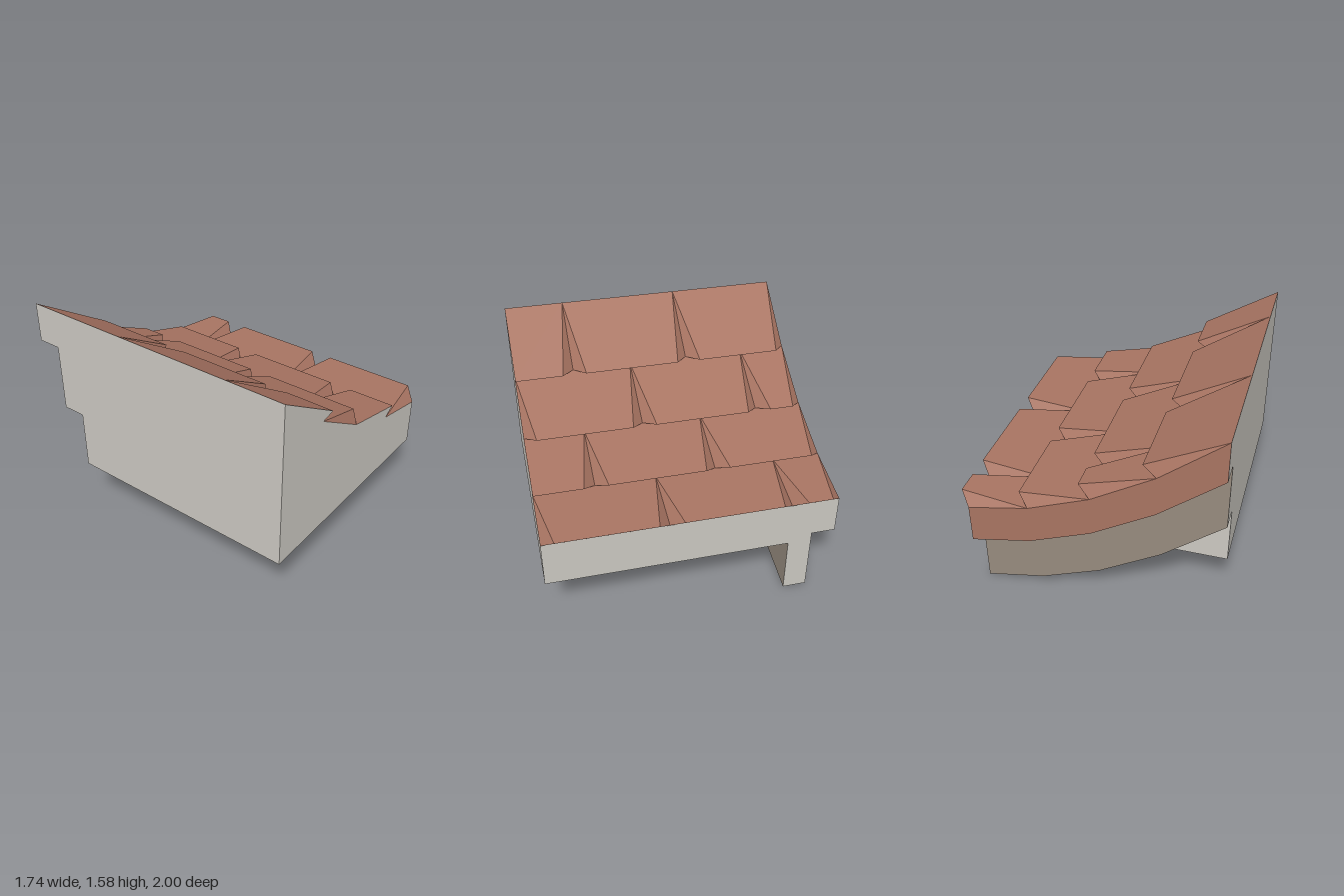
import * as THREE from 'three';

const material = (name, color) => {
  const m = new THREE.MeshStandardMaterial({ color });
  m.name = name;
  return m;
};

// Roof curve from ridge to eave, and the raised lip of each tile course
const CURVE = [[-0.87, 1.583], [-0.455, 1.25], [-0.038, 1.0], [0.378, 0.835], [0.79, 0.75]];
const LIPS = [[-0.35, 1.27], [0.06, 1.037], [0.463, 0.887], [0.867, 0.82]];
const BASE = 0.417, TRIM = 0.275, BRACE = 0.75; // base height, depths below the curve
const FRONT = 1, BACK = -1, BRACE_BACK = -0.833, BRACE_FRONT = -0.667;
const NOTCH = 0.083;

export function createModel() {
  const model = new THREE.Group();
  model.name = 'roofCorner';
  const stone = material('pale stone', 0xcbc8c1);
  const timber = material('taupe beam', 0x968b7e);
  const clay = material('clay tile', 0xa87462);

  const add = (name, geometry, mat, parent = model) => {
    const mesh = new THREE.Mesh(geometry, mat);
    mesh.name = name;
    parent.add(mesh);
    return mesh;
  };

  // Flat-shaded surface from convex polygons, counter-clockwise from outside
  const surface = (polygons) => {
    const pos = [];
    for (const p of polygons)
      for (let i = 1; i < p.length - 1; i++) pos.push(...p[0], ...p[i], ...p[i + 1]);
    const g = new THREE.BufferGeometry();
    g.setAttribute('position', new THREE.Float32BufferAttribute(pos, 3));
    g.computeVertexNormals();
    return g;
  };
  const flat = (points) =>
    new THREE.ShapeGeometry(new THREE.Shape(points.map(([x, y]) => new THREE.Vector2(x, y))));
  const at = ([x, y], z) => [x, y, z];
  const down = ([x, y], d) => [x, y - d];

  // Strips that follow the roof curve: facing back, or facing down
  const strip = (make) => surface(CURVE.slice(0, -1).map((a, i) => make(a, CURVE[i + 1])));
  const backStrip = (top, bottom, z) => strip((a, b) =>
    [at(down(a, top), z), at(down(b, top), z), at(down(b, bottom), z), at(down(a, bottom), z)]);
  const underStrip = (d, z0, z1) => strip((a, b) =>
    [at(down(a, d), z0), at(down(b, d), z0), at(down(b, d), z1), at(down(a, d), z1)]);

  // Tile courses, staggered by half a tile on every other row
  const tiles = new THREE.Group();
  tiles.name = 'roofTiles';
  model.add(tiles);
  const joints = [[BACK, -0.25, 0.583, FRONT], [BACK, -0.667, 0.167, FRONT]];
  LIPS.forEach((lip, row) => {
    const p = CURVE[row], q = CURVE[row + 1], cuts = joints[row % 2];
    for (let k = 0; k < cuts.length - 1; k++) {
      const z0 = cuts[k], z1 = cuts[k + 1];
      const cutFlush = row % 2 === 0 && z1 === FRONT; // half tile ends flush with the wall
      const l0 = at(lip, z0 + NOTCH), l1 = at(lip, cutFlush ? z1 : z1 - NOTCH);
      const faces = [
        [at(p, z0), at(p, z1), l1, l0],
        [l0, l1, at(q, z1), at(q, z0)],
        [at(p, z0), l0, at(q, z0)],
      ];
      if (!cutFlush) faces.push([at(p, z1), at(q, z1), l1]);
      add('tile', surface(faces), clay, tiles);
    }
  });

  // Roof trim along the back edge
  add('trimFascia', backStrip(0, TRIM, BACK), clay);
  add('trimSoffit', underStrip(TRIM, BACK, BRACE_BACK), clay);

  // Curved beam beneath the trim
  const [a, b] = [down(CURVE[1], BRACE), down(CURVE[2], BRACE)];
  const t = (BASE - a[1]) / (b[1] - a[1]);
  const meet = [a[0] + t * (b[0] - a[0]), BASE];
  const eaveX = CURVE[4][0], ridgeX = CURVE[0][0];
  add('beamBack', backStrip(TRIM, BRACE, BRACE_BACK), timber);
  add('beamUnderside', underStrip(BRACE, BRACE_BACK, BRACE_FRONT), timber);
  add('beamFront', flat([meet, b, down(CURVE[3], BRACE), down(CURVE[4], BRACE), [eaveX, BASE]]), timber)
    .position.z = BRACE_FRONT;

  // Stone body: front, both ends, underside and the exposed piece behind the beam
  add('frontWall', flat([CURVE[0], LIPS[0], CURVE[1], CURVE[2], LIPS[2], CURVE[3], CURVE[4],
    [eaveX, BASE], [ridgeX, BASE]]), stone).position.z = FRONT;
  for (const [name, [x, y], s] of [['eaveEnd', CURVE[4], 1], ['ridgeEnd', CURVE[0], -1]]) {
    const section = [[BACK, y], [FRONT, y], [FRONT, BASE], [BRACE_FRONT, BASE],
      [BRACE_FRONT, y - BRACE], [BRACE_BACK, y - BRACE], [BRACE_BACK, y - TRIM], [BACK, y - TRIM]];
    const end = add(name, flat(section.map(([z, h]) => [-s * z, h])), stone);
    end.rotation.y = s * Math.PI / 2;
    end.position.x = x;
  }
  add('underside', surface([[[ridgeX, BASE, BRACE_FRONT], [eaveX, BASE, BRACE_FRONT],
    [eaveX, BASE, FRONT], [ridgeX, BASE, FRONT]]]), stone);
  add('rearWall', surface([[down(CURVE[0], BRACE), a, meet, [ridgeX, BASE]]
    .map((p) => at(p, BRACE_FRONT))]), stone);

  return model;
}
